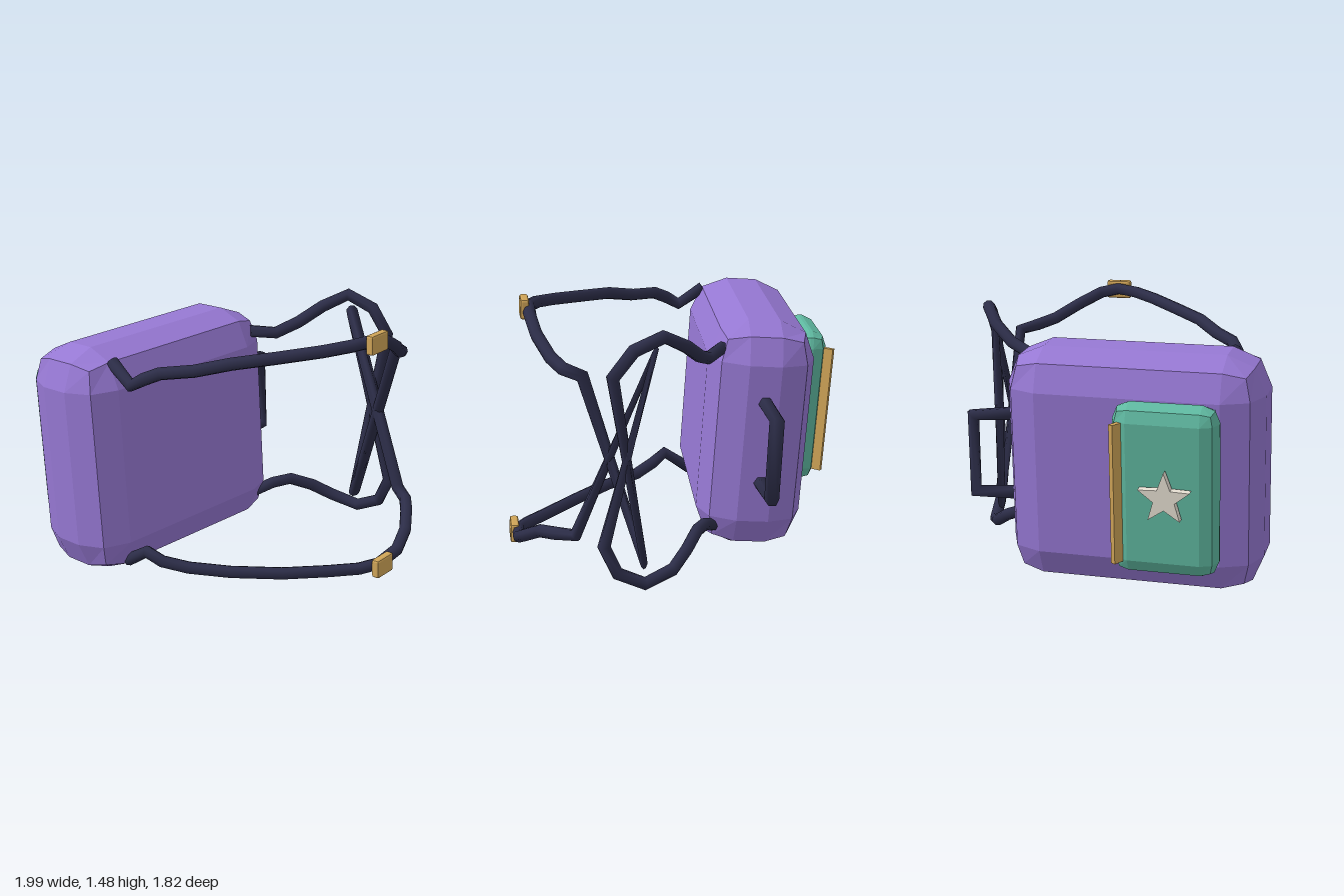
import * as THREE from 'three';
import { RoundedBoxGeometry } from 'three/addons/geometries/RoundedBoxGeometry.js';

const paint = (color, flatShading = true) => new THREE.MeshStandardMaterial({ color, flatShading });
const purple = paint(0x9678d3), teal = paint(0x5fb8a0), gold = paint(0xd0a558);
const navy = paint(0x2c2d48, false), cream = paint(0xe6dfd2);

function add(parent, name, geometry, material, x = 0, y = 0, z = 0) {
  const mesh = new THREE.Mesh(geometry, material);
  mesh.name = name;
  mesh.position.set(x, y, z);
  parent.add(mesh);
  return mesh;
}

// Round tube through the given points, mitred at every bend, capped at both ends
function sweep(coords, radius, sides = 8) {
  const pts = coords.map((c) => new THREE.Vector3(...c));
  const dir = (a, b) => pts[b].clone().sub(pts[a]).normalize();
  const last = pts.length - 1;
  const pos = [], idx = [];
  let tangent = dir(0, 1);
  let u = new THREE.Vector3(0, 1, 0).cross(tangent).normalize();
  pts.forEach((p, i) => {
    const t = i === 0 ? dir(0, 1) : i === last ? dir(last - 1, last)
      : dir(i - 1, i).add(dir(i, i + 1)).normalize();
    u.applyQuaternion(new THREE.Quaternion().setFromUnitVectors(tangent, t));
    tangent = t;
    const v = t.clone().cross(u);
    for (let s = 0; s < sides; s++) {
      const a = (s / sides) * Math.PI * 2;
      const q = p.clone().addScaledVector(u, radius * Math.cos(a)).addScaledVector(v, radius * Math.sin(a));
      pos.push(q.x, q.y, q.z);
      if (i < last) {
        const b = i * sides + s, c = i * sides + ((s + 1) % sides);
        idx.push(b, c, b + sides, c, c + sides, b + sides);
      }
    }
  });
  for (let s = 1; s < sides - 1; s++) {
    const e = last * sides;
    idx.push(0, s + 1, s, e, e + s, e + s + 1);
  }
  const g = new THREE.BufferGeometry();
  g.setAttribute('position', new THREE.Float32BufferAttribute(pos, 3));
  g.setIndex(idx);
  g.computeVertexNormals();
  return g;
}

function starGeometry(outer, inner, depth) {
  const shape = new THREE.Shape();
  for (let i = 0; i < 10; i++) {
    const r = i % 2 ? inner : outer, a = Math.PI / 2 + (i * Math.PI) / 5;
    shape[i ? 'lineTo' : 'moveTo'](r * Math.cos(a), r * Math.sin(a));
  }
  shape.closePath();
  return new THREE.ExtrudeGeometry(shape, { depth, bevelEnabled: false }).translate(0, 0, -depth / 2);
}

export function createModel() {
  const model = new THREE.Group();
  model.name = 'backpack';

  // Bag lying on its side, slightly leaning
  const bag = new THREE.Group();
  bag.name = 'bag';
  bag.position.set(-0.44, 0.683, 0.185);
  bag.rotation.set(0, -0.07, 0.07);
  model.add(bag);
  add(bag, 'body', new RoundedBoxGeometry(0.6, 1.33, 1.43, 1, 0.21), purple);

  // Pocket with zip and star badge
  add(bag, 'pocket', new RoundedBoxGeometry(0.2, 0.94, 0.57, 1, 0.09), teal, -0.38, 0, 0.24);
  const zip = add(bag, 'zip', new THREE.BoxGeometry(0.06, 0.77, 0.028), gold, -0.49, -0.005, -0.005);
  zip.rotation.y = -0.55;
  const star = add(bag, 'starBadge', starGeometry(0.145, 0.06, 0.045), cream, -0.512, 0, 0.26);
  star.rotation.y = -Math.PI / 2;

  // Carrying handle
  add(model, 'handle', sweep([
    [-0.42, 0.93, -0.46], [-0.43, 0.905, -0.77], [-0.41, 0.455, -0.77], [-0.4, 0.46, -0.46],
  ], 0.042, 6), navy);

  // Shoulder straps: front anchor, buckle, hairpin across the back, loop to the rear anchor
  add(model, 'upperStrap', sweep([
    [-0.28, 1.3, 0.68], [-0.13, 1.2, 0.69], [-0.05, 1.25, 0.67], [0.03, 1.29, 0.63], [0.18, 1.31, 0.52],
    [0.34, 1.355, 0.4], [0.52, 1.385, 0.23], [0.69, 1.415, 0.06], [0.79, 1.435, -0.07], [0.84, 1.445, -0.19],
    [0.84, 1.42, -0.3], [0.815, 1.345, -0.44], [0.755, 1.26, -0.58], [0.7, 1.225, -0.68], [0.605, 1.205, -0.77],
    [0.3, 0.16, -0.83],
    [0.46, 1.22, -0.88], [0.35, 1.36, -0.88], [0.19, 1.42, -0.85], [0.06, 1.34, -0.77],
    [-0.03, 1.25, -0.65], [-0.1, 1.2, -0.52], [-0.2, 1.22, -0.4],
  ], 0.036), navy);
  add(model, 'lowerStrap', sweep([
    [-0.2, 0.11, 0.68], [-0.04, 0.22, 0.69], [0.04, 0.17, 0.65], [0.16, 0.135, 0.56], [0.36, 0.125, 0.43],
    [0.58, 0.115, 0.24], [0.76, 0.115, 0.05], [0.88, 0.12, -0.08], [0.94, 0.13, -0.19],
    [0.945, 0.155, -0.36], [0.91, 0.22, -0.49], [0.84, 0.285, -0.6], [0.77, 0.305, -0.69], [0.66, 0.32, -0.77],
    [0.235, 1.33, -0.83],
    [0.52, 0.29, -0.88], [0.45, 0.13, -0.88], [0.3, 0.055, -0.87], [0.14, 0.1, -0.81],
    [0.05, 0.17, -0.72], [-0.03, 0.23, -0.6], [-0.09, 0.22, -0.5], [-0.17, 0.17, -0.4],
  ], 0.036), navy);

  // Strap buckles
  [['upperBuckle', 0.865, 1.44], ['lowerBuckle', 0.965, 0.13]].forEach(([name, x, y]) => {
    const buckle = add(model, name, new RoundedBoxGeometry(0.048, 0.11, 0.15, 1, 0.012), gold, x, y, -0.19);
    buckle.rotation.z = 0.05;
  });

  return model;
}
